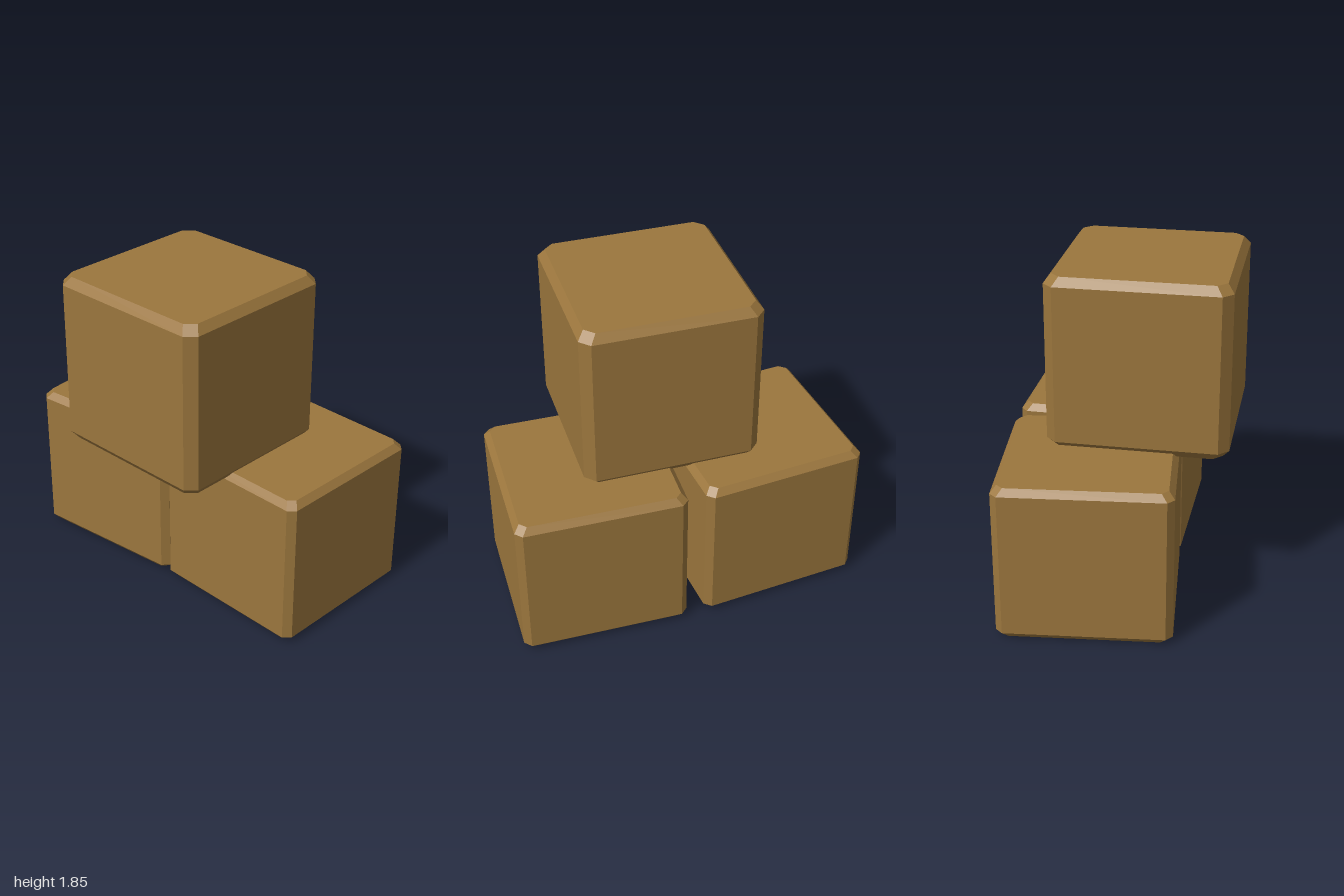
import * as THREE from 'three';
import { ConvexGeometry } from 'three/addons/geometries/ConvexGeometry.js';

// Block with an octagonal plan (cut corners) and bevelled top and bottom rims
function blockGeometry(width, height, cut, bevel, rimScale) {
  const half = width / 2;
  const flat = half - cut;
  const h = height / 2;
  const points = [];
  for (const [y, s] of [[-h, rimScale], [-h + bevel, 1], [h - bevel, 1], [h, rimScale]]) {
    for (const sx of [-1, 1]) {
      for (const sz of [-1, 1]) {
        points.push(new THREE.Vector3(sx * half * s, y, sz * flat * s));
        points.push(new THREE.Vector3(sx * flat * s, y, sz * half * s));
      }
    }
  }
  return new ConvexGeometry(points);
}

export function createModel() {
  const group = new THREE.Group();
  const wood = new THREE.MeshStandardMaterial({ color: 0x9b763d, flatShading: true });
  wood.name = 'brown wood';

  const addBlock = (name, geometry, x, y, z, turn) => {
    const mesh = new THREE.Mesh(geometry, wood);
    mesh.name = name;
    mesh.position.set(x, y, z);
    mesh.rotation.y = turn;
    group.add(mesh);
  };

  // Two lower blocks, mirrored and turned slightly apart
  const lower = blockGeometry(0.948, 0.895, 0.038, 0.037, 0.932);
  addBlock('lowerLeftBlock', lower, 0.5, 0.4475, -0.142, -0.058);
  addBlock('lowerRightBlock', lower, -0.5, 0.4475, -0.142, 0.058);

  // Larger block resting on top
  const upper = blockGeometry(0.995, 0.975, 0.055, 0.047, 0.927);
  addBlock('upperBlock', upper, 0.025, 1.36, 0.118, -0.042);

  return group;
}
